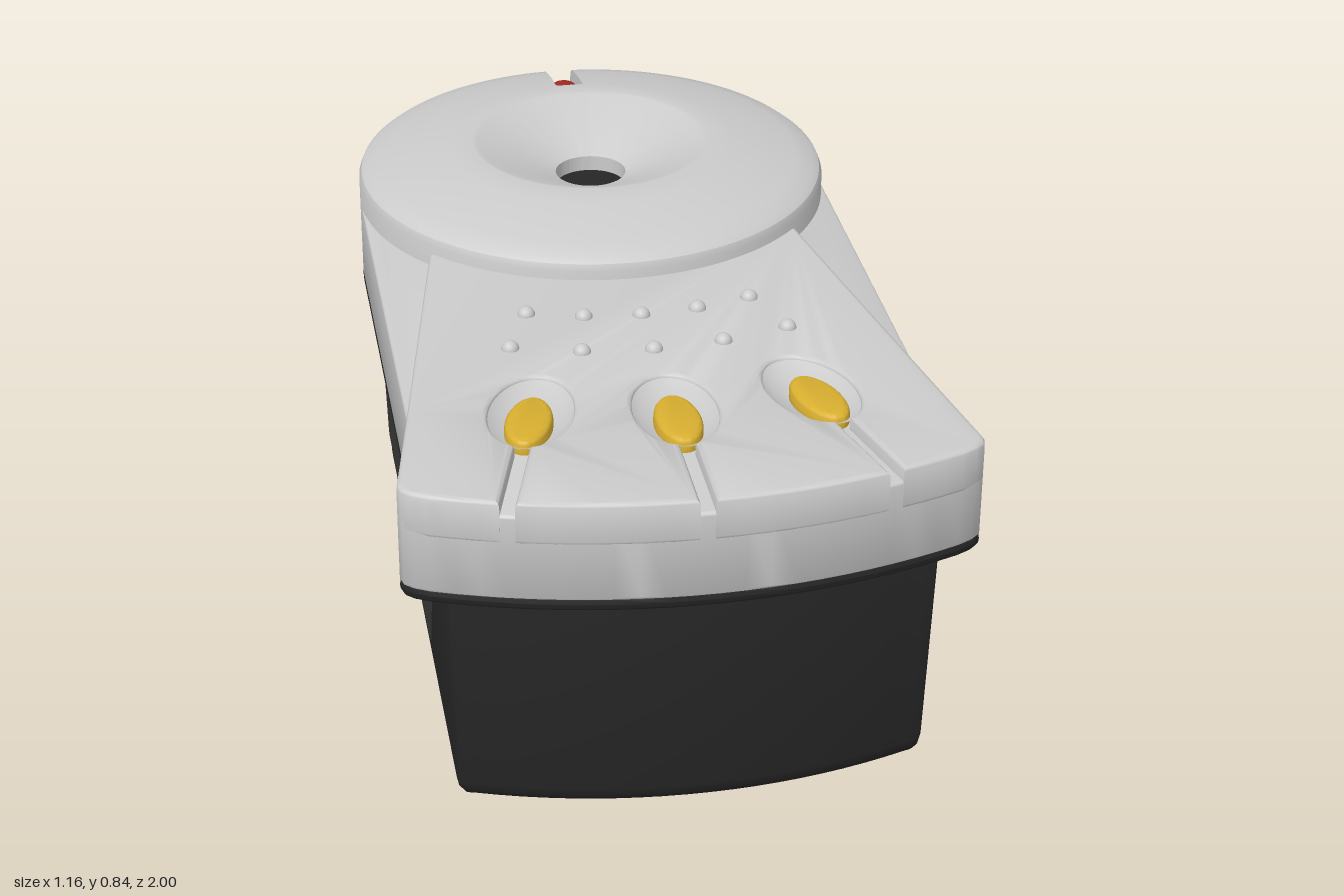
import * as THREE from 'three';
import { toCreasedNormals } from 'three/addons/utils/BufferGeometryUtils.js';
import { ParametricGeometry } from 'three/addons/geometries/ParametricGeometry.js';

const CZ = -0.47; // centre of the round end; the front edge and controls are radial to it
const DEG = Math.PI / 180;
const mat = (color, side = THREE.FrontSide) => new THREE.MeshStandardMaterial({ color, side });
const GREY = mat(0xcccccc), DARK = mat(0x262626), RED = mat(0xa82828), YELLOW = mat(0xd9b030);
const V = (x, z) => new THREE.Vector2(x, z);
const polar = (r, a, w = 0) =>
  V(r * Math.sin(a) + w * Math.cos(a), CZ + r * Math.cos(a) - w * Math.sin(a));

function add(group, name, geometry, material) {
  const mesh = new THREE.Mesh(geometry, material);
  mesh.name = name;
  group.add(mesh);
  return mesh;
}

// horizontal slab from a plan outline (x, z), with rounded edges
function slab(points, y0, y1, bevel) {
  const g = new THREE.ExtrudeGeometry(new THREE.Shape(points), {
    depth: y1 - y0 - 2 * bevel, bevelThickness: bevel, bevelSize: bevel,
    bevelOffset: -bevel, bevelSegments: 4,
  });
  g.rotateX(Math.PI / 2);
  g.translate(0, y1 - bevel, 0);
  return g;
}

function ellipse(rx, rz, n = 40) {
  return Array.from({ length: n }, (_, i) =>
    V(rx * Math.cos(i / n * 2 * Math.PI), rz * Math.sin(i / n * 2 * Math.PI)));
}

function backArc(r, n = 64) {
  return Array.from({ length: n + 1 }, (_, i) => polar(r, -Math.PI / 2 - Math.PI * i / n));
}

// front arc from right to left, optionally cut by groove-and-oval notches
function frontArc(r, half, notches = []) {
  const pts = [];
  const cuts = [half, ...notches, -half];
  const gap = 0.015 / r;
  for (let c = 0; c < cuts.length - 1; c++) {
    const a0 = cuts[c] - (c ? gap : 0);
    const a1 = cuts[c + 1] + (c < cuts.length - 2 ? gap : 0);
    const n = Math.ceil((a0 - a1) / (2 * DEG));
    for (let i = 0; i <= n; i++) pts.push(polar(r, a0 + (a1 - a0) * i / n));
    if (c < cuts.length - 2) {
      for (let i = 0; i <= 40; i++) {
        const t = 0.18 + (2 * Math.PI - 0.36) * i / 40;
        pts.push(polar(1.105 + 0.14 * Math.cos(t), cuts[c + 1], 0.085 * Math.sin(t)));
      }
    }
  }
  return pts;
}

const CORNER = [V(0.53, 0.56), V(0.576, 0.82), V(0.58, 0.845), V(0.575, 0.865), V(0.557, 0.882)];
const mirrored = pts => pts.map(p => V(-p.x, p.y)).reverse();

// gentle inward taper of the lower body towards the floor
const taper = (x, y, z) => {
  const k = 1 - y / 0.5;
  return [x * (1 - 0.03 * k), y, z * (1 - 0.012 * k)];
};

function lowerBody() {
  const corner = [V(0.495, 0.86), V(0.489, 0.873), V(0.475, 0.88)];
  const g = slab([...corner, ...frontArc(1.43, 19 * DEG), ...mirrored(corner), ...backArc(0.495)],
    0, 0.55, 0.05);
  const p = g.attributes.position;
  for (let i = 0; i < p.count; i++) p.setXYZ(i, ...taper(p.getX(i), p.getY(i), p.getZ(i)));
  return toCreasedNormals(g, 0.6);
}

// thin panel running along both sides and around the back
function wrapPanel() {
  const rows = [[0.1, 0.40], [0.105, 0.43], [0.13, 0.46], [0.5, 0.68]];
  const R = 0.499;
  return new ParametricGeometry((u, v, out) => {
    const f = Math.min(v * 3, 2.9999), i = Math.floor(f), t = f - i;
    const y = rows[i][0] + (rows[i + 1][0] - rows[i][0]) * t;
    const start = rows[i][1] + (rows[i + 1][1] - rows[i][1]) * t;
    let x, z;
    if (u < 0.25 || u > 0.75) {
      const s = u < 0.25 ? u * 4 : (1 - u) * 4;
      x = u < 0.25 ? R : -R;
      z = start + (CZ - start) * s;
    } else {
      const a = Math.PI / 2 + (u - 0.25) * 2 * Math.PI;
      x = R * Math.sin(a);
      z = CZ + R * Math.cos(a);
    }
    out.set(...taper(x, y, z));
  }, 96, 3);
}

// round cap with a central funnel and a radial groove at the back
function roundCap() {
  const profile = [[0.53, 0.6], [0.53, 0.765], [0.524, 0.78], [0.51, 0.791], [0.47, 0.803],
    [0.4, 0.82], [0.335, 0.831], [0.325, 0.8325], [0.27, 0.84], [0.258, 0.838],
    [0.08, 0.757], [0.08, 0.715]].map(([r, y]) => V(r, y));
  const n = 160;
  const g = new THREE.LatheGeometry(profile, n);
  const p = g.attributes.position;
  for (let k = -2; k <= 2; k++) {
    for (let j = 1; j <= 7; j++) {
      const i = (n / 2 + k) * profile.length + j;
      if (k) p.setX(i, -Math.sign(k) * (Math.abs(k) === 2 ? 0.032 : 0.029));
      if (Math.abs(k) < 2 && j < 7) p.setY(i, p.getY(i) - 0.03);
    }
  }
  g.translate(0, 0, CZ);
  return toCreasedNormals(g, 0.5);
}

// rounded plate bent around the round end
function curvedButton() {
  const soft = v => Math.sign(v) * Math.abs(v) ** 0.4;
  const outline = ellipse(1, 1, 48).map(p => V(0.095 * soft(p.x), 0.06 * soft(p.y)));
  const g = new THREE.ExtrudeGeometry(new THREE.Shape(outline), {
    depth: 0.03, bevelThickness: 0.008, bevelSize: 0.008, bevelOffset: -0.008, bevelSegments: 3,
  });
  const p = g.attributes.position;
  for (let i = 0; i < p.count; i++) {
    const q = polar(0.512 + p.getZ(i), 135 * DEG + p.getX(i) / 0.55);
    p.setXYZ(i, q.x, 0.65 + p.getY(i), q.y);
  }
  return toCreasedNormals(g, 0.6);
}

export function createModel() {
  const model = new THREE.Group();
  model.name = 'handheldUnit';

  // lower body, side panel and dark rim
  add(model, 'lowerBody', lowerBody(), DARK);
  add(model, 'wrapPanel', wrapPanel(), mat(0x3a3a3a, THREE.DoubleSide));
  const plan = [...CORNER, ...frontArc(1.466, 21 * DEG), ...mirrored(CORNER), ...backArc(0.53)];
  add(model, 'rim', toCreasedNormals(slab(plan, 0.5, 0.54, 0.018), 0.6), DARK);

  // upper shell and the raised, notched deck
  add(model, 'upperShell', toCreasedNormals(slab(plan, 0.528, 0.716, 0.008), 0.6), GREY);
  const angles = [15 * DEG, 0, -15 * DEG];
  const tail = [V(0.4, -0.19), V(0.41, -0.13)];
  const deck = [...tail, ...CORNER, ...frontArc(1.467, 21 * DEG, angles),
    ...mirrored(CORNER), ...mirrored(tail)];
  add(model, 'deck', toCreasedNormals(slab(deck, 0.65, 0.745, 0.012), 0.6), GREY);

  // oval dishes with their buttons
  const dish = new THREE.LatheGeometry([V(0.5, 0.717), V(0.8, 0.724), V(1.03, 0.738)], 40);
  dish.scale(0.085, 1, 0.14);
  const button = toCreasedNormals(slab(ellipse(0.048, 0.096), 0.7, 0.746, 0.014), 0.6);
  const dishMat = mat(0xcccccc, THREE.DoubleSide);
  for (const a of angles) {
    const control = new THREE.Group();
    control.name = 'control';
    control.position.z = CZ;
    control.rotation.y = a;
    add(control, 'dish', dish, dishMat).position.z = 1.105;
    add(control, 'ovalButton', button, YELLOW).position.z = 1.14;
    model.add(control);
  }

  // two curved rows of studs
  const stud = new THREE.SphereGeometry(0.019, 20, 12);
  for (const r of [0.7, 0.855]) {
    for (let i = -2; i <= 2; i++) {
      const p = polar(r, i * 10 * DEG);
      add(model, 'stud', stud, GREY).position.set(p.x, 0.744, p.y);
    }
  }

  // round cap, funnel floor, pointer and side button
  add(model, 'roundCap', roundCap(), GREY);
  const floor = new THREE.CircleGeometry(0.081, 40).rotateX(-Math.PI / 2);
  add(model, 'funnelFloor', floor, DARK).position.set(0, 0.722, CZ);
  const pointer = add(model, 'pointer', new THREE.CapsuleGeometry(0.029, 0.075, 8, 20), RED);
  pointer.position.set(0, 0.792, -0.86);
  pointer.rotation.x = Math.PI / 2 - 0.2;
  pointer.scale.z = 0.5;
  add(model, 'sideButton', curvedButton(), RED);

  return model;
}
